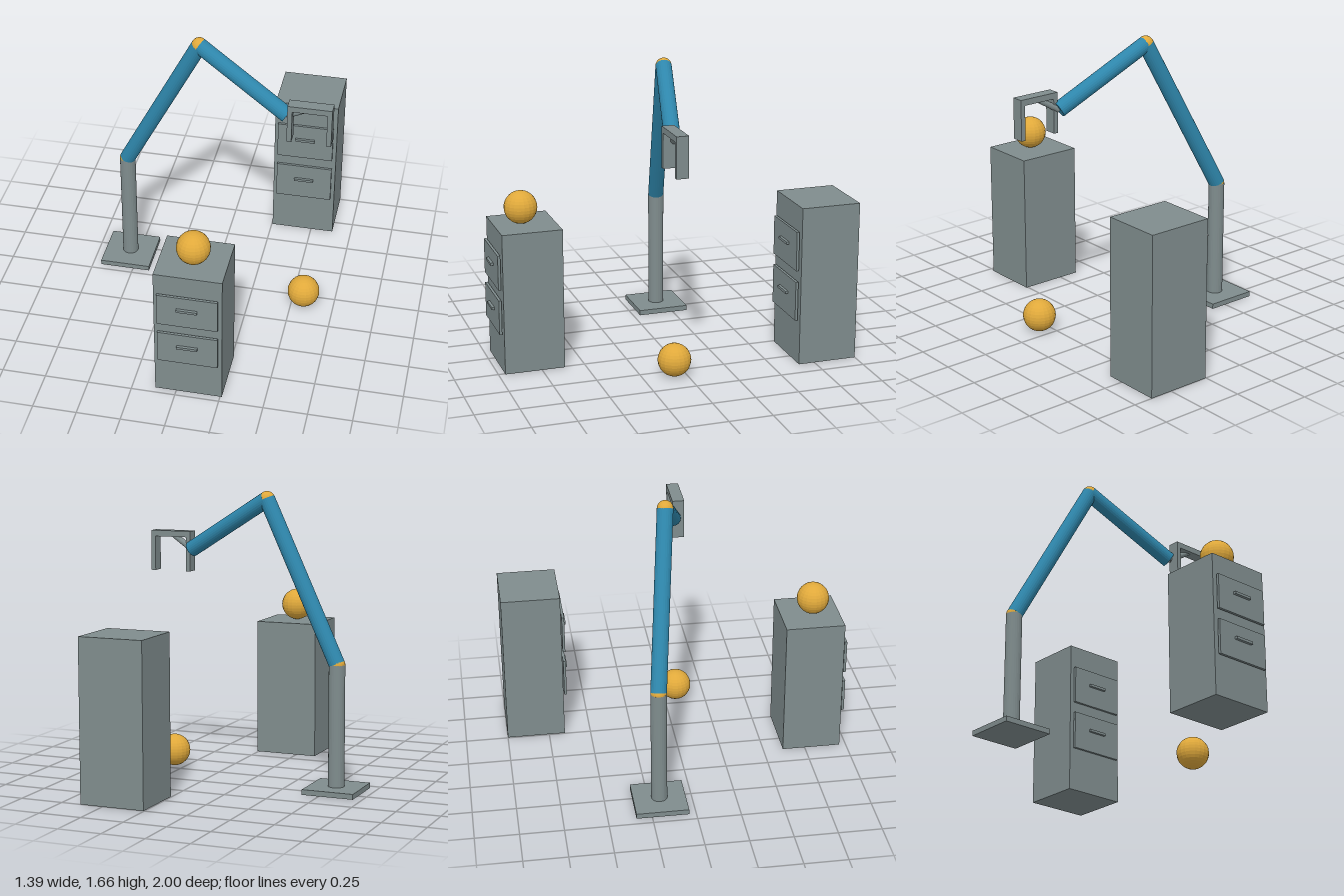
import * as THREE from 'three';

const mat = (name, color) => {
  const m = new THREE.MeshStandardMaterial({ color, flatShading: true });
  m.name = name;
  return m;
};

export function createModel() {
  const grey = mat('grey metal', 0x7f8c8d);
  const blue = mat('arm blue', 0x2e86ab);
  const gold = mat('ball gold', 0xe0a93b);
  const model = new THREE.Group();
  model.name = 'robotArmWorkspace';

  const group = (name, parent = model) => {
    const g = new THREE.Group();
    g.name = name;
    parent.add(g);
    return g;
  };
  const add = (parent, name, geometry, material, x = 0, y = 0, z = 0) => {
    const mesh = new THREE.Mesh(geometry, material);
    mesh.name = name;
    mesh.position.set(x, y, z);
    parent.add(mesh);
    return mesh;
  };
  const box = (parent, name, w, h, d, x, y, z) =>
    add(parent, name, new THREE.BoxGeometry(w, h, d), grey, x, y, z);
  const ball = (parent, name, r, p) =>
    add(parent, name, new THREE.SphereGeometry(r, 20, 16), gold, p.x, p.y, p.z);

  // Cylinder running between two points
  const rod = (parent, name, a, b, r, material) => {
    const dir = b.clone().sub(a);
    const mid = a.clone().add(b).multiplyScalar(0.5);
    const mesh = add(parent, name, new THREE.CylinderGeometry(r, r, dir.length(), 24), material, mid.x, mid.y, mid.z);
    mesh.quaternion.setFromUnitVectors(new THREE.Vector3(0, 1, 0), dir.normalize());
  };

  // Robot arm: base, column, two links and their joints
  const arm = group('robotArm');
  const R = 0.046;
  const foot = new THREE.Vector3(-0.55, 0.03, -0.19);
  const shoulder = new THREE.Vector3(-0.55, 0.72, -0.19);
  const elbow = new THREE.Vector3(-0.088, 1.619, -0.084);
  const wrist = new THREE.Vector3(0.435, 1.307, 0.037);
  const grip = new THREE.Vector3(0.57, 1.389, 0.07);
  box(arm, 'basePlate', 0.3, 0.03, 0.3, foot.x, 0.015, foot.z);
  rod(arm, 'column', foot, shoulder, R, grey);
  ball(arm, 'shoulderJoint', R, shoulder);
  rod(arm, 'upperArm', shoulder, elbow, R, blue);
  ball(arm, 'elbowJoint', R, elbow);
  rod(arm, 'forearm', elbow, wrist, R, blue);
  rod(arm, 'wristRod', wrist, grip, 0.017, grey);

  // Two-finger gripper
  const gripper = group('gripper', arm);
  box(gripper, 'gripperBar', 0.25, 0.035, 0.07, grip.x, 1.392, grip.z);
  for (const side of [-1, 1])
    box(gripper, 'gripperFinger', 0.027, 0.2, 0.07, grip.x + side * 0.1115, 1.275, grip.z);

  // Cabinet with two drawers; z is the centre of the body
  const cabinet = (name, x, z, height, drawerHeight, drawerCentres) => {
    const g = group(name);
    g.position.set(x, 0, z);
    box(g, 'body', 0.38, height, 0.345, 0, height / 2, 0);
    for (const y of drawerCentres) {
      box(g, 'drawerFront', 0.337, drawerHeight, 0.015, 0, y, 0.187);
      box(g, 'drawerHandle', 0.116, 0.015, 0.016, 0, y + 0.018, 0.2025);
    }
  };
  cabinet('frontCabinet', 0.07, 0.7895, 0.815, 0.2, [0.33, 0.592]);
  cabinet('rearCabinet', 0.445, -0.8275, 0.923, 0.228, [0.373, 0.667]);

  // Balls to be handled
  ball(model, 'cabinetBall', 0.094, new THREE.Vector3(0.07, 0.91, 0.808));
  ball(model, 'floorBall', 0.094, new THREE.Vector3(0.57, 0.096, 0.07));

  return model;
}
